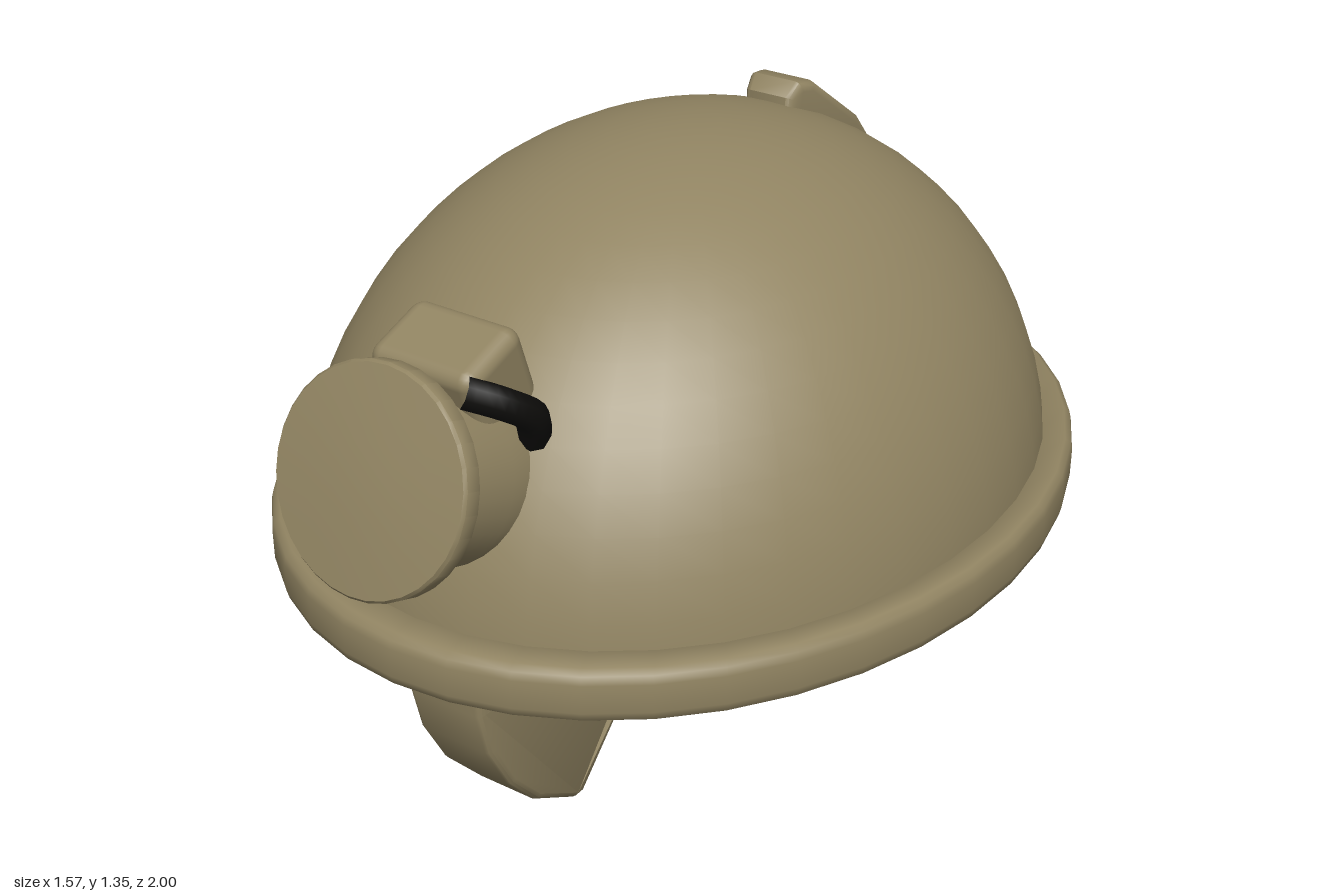
import * as THREE from 'three';
import { toCreasedNormals } from 'three/addons/utils/BufferGeometryUtils.js';
import { RoundedBoxGeometry } from 'three/addons/geometries/RoundedBoxGeometry.js';

const tan = new THREE.MeshStandardMaterial({ color: 0x918462 });
tan.name = 'khaki';
const black = new THREE.MeshStandardMaterial({ color: 0x0d0c0a });
black.name = 'black';

const V2 = (pairs) => pairs.map(([a, b]) => new THREE.Vector2(a, b));

function add(parent, name, geometry, material = tan) {
  const mesh = new THREE.Mesh(geometry, material);
  mesh.name = name;
  parent.add(mesh);
  return mesh;
}

// Side profile given as [z, y], extruded across x; width(y, z) scales the thickness
function sidePlate(points, halfWidth, bevel, width) {
  const g = new THREE.ExtrudeGeometry(new THREE.Shape(V2(points)), {
    depth: 2 * (halfWidth - bevel), bevelEnabled: true, bevelThickness: bevel,
    bevelSize: bevel, bevelOffset: -bevel, bevelSegments: 3,
  });
  g.translate(0, 0, bevel - halfWidth).rotateY(-Math.PI / 2);
  const p = g.attributes.position;
  for (let i = 0; i < p.count; i++) p.setX(i, p.getX(i) * width(p.getY(i), p.getZ(i)));
  return toCreasedNormals(g, 0.7);
}

function tube(points, radius) {
  const curve = new THREE.CatmullRomCurve3(points.map((p) => new THREE.Vector3(...p)));
  return new THREE.TubeGeometry(curve, 12, radius, 8);
}

export function createModel() {
  const model = new THREE.Group();
  model.name = 'helmet';
  const zMid = -0.047;

  // Hollow oval shell: outer skin upwards, inner skin back down
  const dome = [];
  const steps = 16;
  for (let i = 0; i <= steps; i++) {
    const a = (i / steps) * Math.PI / 2;
    dome.push([Math.cos(a), 0.55 + 0.795 * Math.sin(a)]);
  }
  for (let i = steps; i >= 0; i--) {
    const a = (i / steps) * Math.PI / 2;
    dome.push([0.97 * Math.cos(a), 0.55 + 0.77 * Math.sin(a)]);
  }
  dome.forEach((p) => { p[0] = Math.max(p[0], 0); });
  const domeGeometry = toCreasedNormals(new THREE.LatheGeometry(V2(dome), 40), 0.8);
  add(model, 'shell', domeGeometry.scale(0.731, 1, 0.885).translate(0, 0, zMid));

  // Thick rounded rim
  const rim = V2([[0.9, 0.538], [0.98, 0.538], [0.995, 0.548], [1, 0.565], [1, 0.625],
    [0.995, 0.642], [0.98, 0.652], [0.9, 0.652], [0.886, 0.635], [0.886, 0.555], [0.9, 0.538]]);
  const rimGeometry = toCreasedNormals(new THREE.LatheGeometry(rim, 40), 0.9);
  add(model, 'rim', rimGeometry.scale(0.785, 1, 0.9525).translate(0, 0, zMid));

  // Tilted headlamp: barrel that passes through the shell, flange and lens
  const lamp = new THREE.Group();
  lamp.name = 'headlamp';
  lamp.position.set(0, 0.99, 0.93);
  lamp.rotation.x = -0.345;
  model.add(lamp);
  const barrel = V2([[0, -0.32], [0.15, -0.32], [0.17, -0.3], [0.177, -0.19],
    [0.164, -0.1], [0.163, -0.04]]);
  add(lamp, 'lampBarrel', toCreasedNormals(new THREE.LatheGeometry(barrel, 32), 0.7).rotateX(Math.PI / 2));
  const lens = V2([[0.15, -0.046], [0.21, -0.046], [0.215, -0.04], [0.215, -0.006],
    [0.21, 0], [0.14, 0.006], [0.07, 0.01], [0, 0.012]]);
  add(lamp, 'lampLens', toCreasedNormals(new THREE.LatheGeometry(lens, 32), 0.7).rotateX(Math.PI / 2));

  // Rounded block on top of the lamp
  const block = add(model, 'lampBlock', new RoundedBoxGeometry(0.24, 0.3, 0.165, 3, 0.03));
  block.position.set(0, 1.04, 0.665);
  block.rotation.x = 0.33;

  // Short cable at the lamp's left side
  add(model, 'lampCable', tube([[0.1, 1.13, 0.78], [0.15, 1.1, 0.73], [0.17, 1.06, 0.68], [0.15, 1.0, 0.65]], 0.032), black);

  // Tapered clip on the back of the crown
  const clip = [[-0.35, 1.2], [-0.355, 1.31], [-0.385, 1.338], [-0.43, 1.33],
    [-0.6, 1.205], [-0.72, 1.075], [-0.68, 1.0]];
  add(model, 'rearClip', sidePlate(clip, 0.085, 0.02, (y, z) => 1 - 6 * (z + 0.59) ** 2));

  // Chin strap web: front drop, pinched middle and rear tail
  const strap = [[0.77, 0.56], [0.765, 0.42], [0.74, 0.32], [0.68, 0.21], [0.59, 0.11],
    [0.43, 0], [0.4, 0], [0.24, 0.23], [0.14, 0.36], [0.03, 0.46], [-0.08, 0.51],
    [-0.3, 0.505], [-0.8, 0.43], [-0.835, 0.45], [-0.845, 0.54], [-0.78, 0.72],
    [-0.4, 0.77], [0.0, 0.58], [0.12, 0.54]];
  const strapWidth = (y, z) => {
    const taper = y < 0.2 ? 0.5 + 0.5 * Math.sqrt(Math.max(y, 0) / 0.2) : 1;
    return taper * (1 - 0.3 * Math.exp(-(((z - 0.08) / 0.15) ** 2)));
  };
  add(model, 'chinStrap', sidePlate(strap, 0.09, 0.015, strapWidth));

  // Dark cords along the pinch of the strap
  for (const s of [1, -1]) {
    const cord = tube([[s * 0.05, 0.38, 0.16], [s * 0.05, 0.44, 0.1], [s * 0.055, 0.49, 0.02], [s * 0.06, 0.525, -0.06]], 0.022);
    add(model, 'strapCord', cord, black);
  }
  return model;
}
